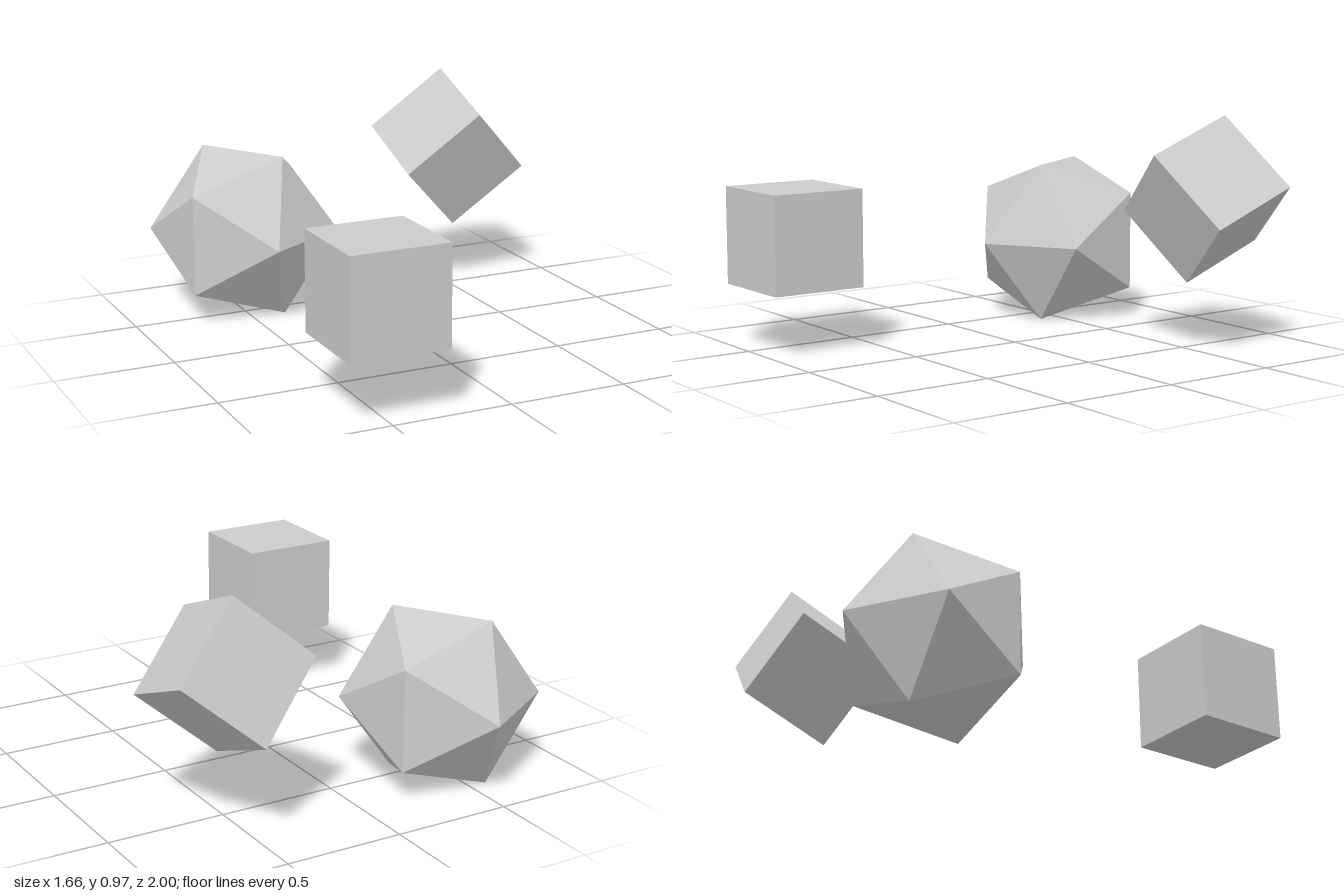
import * as THREE from 'three';

const SIZE = 0.412; // cube side and icosahedron radius

export function createModel() {
  const group = new THREE.Group();
  const material = new THREE.MeshStandardMaterial({ color: 0xcccccc, flatShading: true });

  const add = (name, geometry, position, rotation = [0, 0, 0]) => {
    const mesh = new THREE.Mesh(geometry, material);
    mesh.name = name;
    mesh.position.set(...position);
    mesh.rotation.set(...rotation);
    group.add(mesh);
  };

  const cube = new THREE.BoxGeometry(SIZE, SIZE, SIZE);

  // Upright cube at the front
  add('frontCube', cube, [-0.465, 0.467, 0.794]);

  // Cube tipped forward and rolled about its own axis
  add('tiltedCube', cube, [0.537, 0.623, -0.589], [0.363, 0, 0.745]);

  // Icosahedron turned so that one corner points straight ahead
  const turn = -Math.atan((1 + Math.sqrt(5)) / 2);
  add('icosahedron', new THREE.IcosahedronGeometry(SIZE, 0), [-0.464, 0.351, -0.588], [0, turn, 0]);

  return group;
}
